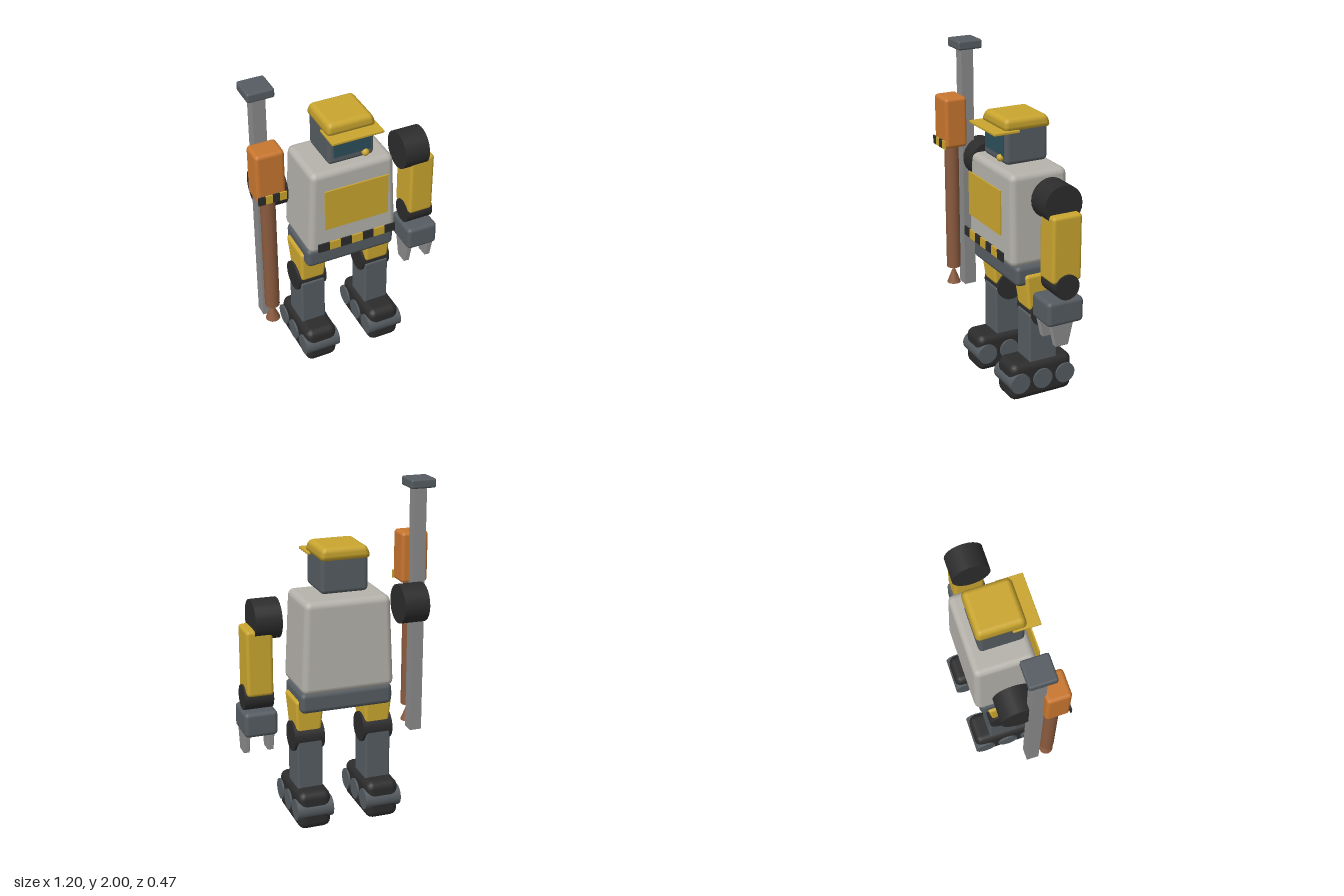
import * as THREE from 'three';
import { RoundedBoxGeometry } from 'three/addons/geometries/RoundedBoxGeometry.js';

const paint = (name, color) => {
  const m = new THREE.MeshStandardMaterial({ color });
  m.name = name;
  return m;
};

export function createModel() {
  const yellow = paint('yellow', 0xc9a52f);
  const shell = paint('pale grey shell', 0xb5b2ab);
  const steel = paint('dark steel', 0x555c61);
  const rubber = paint('black rubber', 0x2c2c2c);
  const metal = paint('light metal', 0x8a8a8a);
  const orange = paint('orange', 0xc8762f);
  const brown = paint('brown', 0x8a5a3e);
  const glass = paint('teal glass', 0x2d4f5c);

  const model = new THREE.Group();
  model.name = 'workerRobot';

  const group = (name) => {
    const g = new THREE.Group();
    g.name = name;
    model.add(g);
    return g;
  };
  const add = (parent, name, geometry, material) => {
    const mesh = new THREE.Mesh(geometry, material);
    mesh.name = name;
    parent.add(mesh);
    return mesh;
  };
  // Bevelled box between min and max corners; ends scale in x and z by [top, bottom]
  const box = (parent, name, material, min, max, radius = 0.015, top = [1, 1], bottom = [1, 1]) => {
    const [w, h, d] = max.map((v, i) => v - min[i]);
    const geo = radius > 0 ? new RoundedBoxGeometry(w, h, d, 2, radius) : new THREE.BoxGeometry(w, h, d);
    const p = geo.attributes.position;
    for (let i = 0; i < p.count; i++) {
      const t = p.getY(i) / h + 0.5;
      p.setX(i, p.getX(i) * THREE.MathUtils.lerp(bottom[0], top[0], t));
      p.setZ(i, p.getZ(i) * THREE.MathUtils.lerp(bottom[1], top[1], t));
    }
    const mesh = add(parent, name, geo, material);
    mesh.position.set(...min.map((v, i) => (v + max[i]) / 2));
    return mesh;
  };
  // Round joint lying along x
  const joint = (parent, name, material, x, y, z, radius, length) => {
    const geo = new THREE.CylinderGeometry(radius, radius, length, 24).rotateZ(Math.PI / 2);
    add(parent, name, geo, material).position.set(x, y, z);
  };
  // Row of alternating black and yellow plates
  const hazard = (parent, x0, x1, y0, y1, z, count) => {
    const w = (x1 - x0) / count;
    for (let i = 0; i < count; i++) {
      box(parent, 'hazardStripe', i % 2 ? yellow : rubber,
        [x0 + i * w, y0, z], [x0 + (i + 1) * w, y1, z + 0.009], 0);
    }
  };

  // Body
  const body = group('body');
  box(body, 'torso', shell, [-0.28, 0.84, -0.21], [0.28, 1.39, 0.165], 0.04, [0.91, 0.96]);
  box(body, 'pelvis', steel, [-0.28, 0.72, -0.18], [0.28, 0.845, 0.135], 0.03);
  box(body, 'chestPanel', yellow, [-0.195, 1.03, 0.191], [0.2, 1.295, 0.2], 0);
  hazard(body, -0.243, 0.247, 0.885, 0.94, 0.2, 7);

  // Head with screen and peaked cap
  const head = group('head');
  box(head, 'skull', steel, [-0.14, 1.41, -0.138], [0.143, 1.64, 0.128], 0.025);
  box(head, 'screen', glass, [-0.108, 1.46, 0.126], [0.117, 1.585, 0.134], 0);
  const knob = add(head, 'knob', new THREE.SphereGeometry(0.022, 16, 10), yellow);
  knob.position.set(0.083, 1.446, 0.135);
  box(head, 'cap', yellow, [-0.155, 1.603, -0.16], [0.155, 1.677, 0.143], 0.03, [0.86, 0.88]);
  box(head, 'capBrim', yellow, [-0.155, 1.598, 0.05], [0.16, 1.614, 0.21], 0.004);

  // Legs and tracked feet
  for (const s of [1, -1]) {
    const leg = group(s > 0 ? 'leftLeg' : 'rightLeg');
    leg.position.x = s * 0.212;
    box(leg, 'thigh', yellow, [-0.088, 0.56, -0.14], [0.088, 0.79, 0.085], 0.02, [1, 1], [0.82, 0.72]);
    joint(leg, 'knee', rubber, 0, 0.543, -0.042, 0.09, 0.182);
    box(leg, 'shin', steel, [-0.077, 0.22, -0.13], [0.077, 0.54, 0.055], 0.012);
    box(leg, 'track', rubber, [-0.1, 0.005, -0.225], [0.1, 0.24, 0.182], 0.045);
    for (const z of [0.13, -0.02, -0.17]) joint(leg, 'trackWheel', steel, 0, 0.125, z, 0.063, 0.222);
  }

  // Shoulders
  for (const s of [1, -1]) {
    joint(model, s > 0 ? 'leftShoulder' : 'rightShoulder', rubber, s * 0.447, 1.275, -0.022, 0.117, 0.155);
  }

  // Left arm with gripper
  const arm = group('leftArm');
  box(arm, 'upperArm', yellow, [0.42, 0.84, -0.115], [0.575, 1.233, 0.07], 0.02);
  joint(arm, 'elbow', rubber, 0.5, 0.815, -0.02, 0.075, 0.17);
  box(arm, 'hand', steel, [0.4, 0.595, -0.122], [0.597, 0.745, 0.107], 0.025);
  for (const x of [0.405, 0.55]) {
    box(arm, 'finger', metal, [x, 0.467, -0.06], [x + 0.036, 0.61, 0.085], 0.004, [1, 1], [1, 0.55]);
  }

  // Right arm replaced by a ram tool
  const tool = group('ramTool');
  box(tool, 'rail', metal, [-0.556, 0.44, 0.02], [-0.482, 1.96, 0.095], 0);
  box(tool, 'railCap', steel, [-0.597, 1.945, -0.022], [-0.442, 2, 0.133], 0.012);
  box(tool, 'motorHousing', orange, [-0.604, 1.36, 0.085], [-0.436, 1.668, 0.226], 0.022);
  hazard(tool, -0.602, -0.437, 1.36, 1.41, 0.228, 4);
  add(tool, 'rod', new THREE.CylinderGeometry(0.043, 0.043, 0.8, 16), brown)
    .position.set(-0.52, 0.965, 0.155);
  add(tool, 'rodTip', new THREE.ConeGeometry(0.043, 0.11, 12), brown)
    .position.set(-0.52, 0.512, 0.155);

  return model;
}
